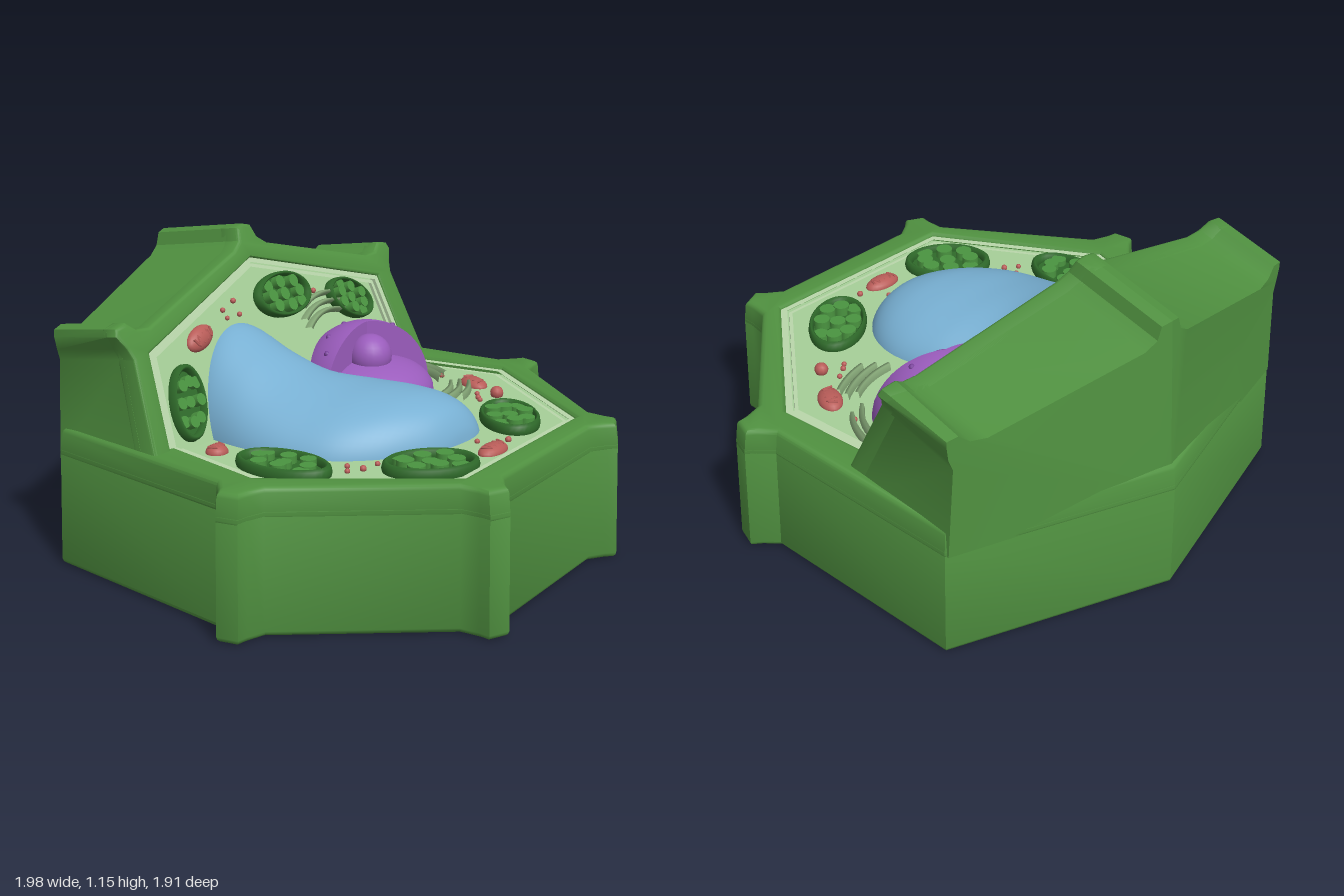
import * as THREE from 'three';
import { toCreasedNormals } from 'three/addons/utils/BufferGeometryUtils.js';

const mat = (name, color, side = THREE.FrontSide) => {
  const m = new THREE.MeshStandardMaterial({ color, side });
  m.name = name;
  return m;
};
const M = {
  wall: mat('wall green', 0x509140),
  cyto: mat('pale green', 0xa6cf98),
  membrane: mat('membrane green', 0xb9d6ab),
  dark: mat('chloroplast dark green', 0x2f6a2a),
  grana: mat('grana green', 0x4a9440),
  blue: mat('vacuole blue', 0x78b0d3),
  purple: mat('nucleus purple', 0x9a5cbc, THREE.DoubleSide),
  plum: mat('plum', 0x7a429c),
  red: mat('organelle red', 0xb85c58),
  reticulum: mat('grey green', 0x86a878),
};

const V = (p) => p.map(([x, y]) => new THREE.Vector2(x, y));
const lerp = THREE.MathUtils.lerp;
const clamp = THREE.MathUtils.clamp;

// Slanted cut plane and the folded back wall
const cutZ = (y) => -0.2 - (y - 0.53) * 0.45;
const backZ = (x, y) => -0.69 - Math.max(0, 1 - Math.abs(x) / 0.8) * (0.27 - 0.065 * y);

// Move every vertex by a rule
function warp(geo, rule) {
  const p = geo.attributes.position;
  for (let i = 0; i < p.count; i++) p.setXYZ(i, ...rule(p.getX(i), p.getY(i), p.getZ(i)));
  geo.computeVertexNormals();
  return geo;
}

export function createModel() {
  const model = new THREE.Group();
  const add = (name, geo, m, parent = model) => {
    const mesh = new THREE.Mesh(geo, m);
    mesh.name = name;
    parent.add(mesh);
    return mesh;
  };

  // Low body: seven-sided outline with a post at each front corner
  const outline = [[0.82, -0.69], [0, -0.965], [-0.82, -0.69]];
  for (const [x, z] of [[-0.985, 0.235], [-0.42, 0.935], [0.465, 0.905], [0.985, 0.235]]) {
    const l = Math.hypot(x, z), nx = x / l, nz = z / l;
    for (const [out, side] of [[-0.1, -0.09], [-0.04, -0.055], [0, -0.04], [0, 0.04], [-0.04, 0.055], [-0.1, 0.09]])
      outline.push([x + nx * out + nz * side, z + nz * out - nx * side]);
  }
  const inner = [[0.71, -0.36], [0.81, 0.2], [0.42, 0.76], [-0.39, 0.78], [-0.81, 0.2], [-0.71, -0.36]];
  const flat = (pts) => V(pts.map(([x, z]) => [x, -z]));
  const slab = (pts, y0, y1, hole, bevel = 0) => {
    const s = new THREE.Shape(flat(pts));
    if (hole) s.holes.push(new THREE.Path(flat(hole)));
    const g = new THREE.ExtrudeGeometry(s, {
      depth: y1 - y0 - 2 * bevel, bevelEnabled: bevel > 0, bevelThickness: bevel,
      bevelSize: bevel, bevelOffset: -bevel, bevelSegments: 3,
    });
    g.rotateX(-Math.PI / 2).translate(0, y0 + bevel, 0);
    warp(g, (x, y, z) => {
      const k = 1.002 - 0.06 * (y / 0.52 - 0.3) ** 2;
      return [x * k, y, z * k];
    });
    return toCreasedNormals(g, 0.7);
  };
  add('lowerWall', slab(outline, 0, 0.46, null, 0.02), M.wall);
  add('lowerRim', slab(outline, 0.41, 0.522, inner, 0.018), M.wall);
  const shrink = (pts, k) => pts.map(([x, z]) => [x * k, (z - 0.15) * k + 0.15]);
  add('cytoplasmFloor', slab(inner, 0.45, 0.488), M.cyto);
  add('floorMembraneOuter', slab(shrink(inner, 1.005), 0.46, 0.508, shrink(inner, 0.965)), M.membrane);
  add('floorMembraneInner', slab(shrink(inner, 0.955), 0.46, 0.5, shrink(inner, 0.935)), M.membrane);

  // Raised back block, an oblique prism between the cut plane and the back wall
  const raise = (g) => toCreasedNormals(warp(g, (x, y, e) => {
    const d = 1 - e, z = lerp(cutZ(y), backZ(x, y), d);
    const drop = 0.17 * (cutZ(y) - z) * clamp((y - 0.45) / 0.4, 0, 1);
    return [x - Math.sign(x) * Math.max(0, Math.abs(x) - 0.8) * d, y - drop, z];
  }), 0.6);
  const rightTop = [[0.825, 0.42], [0.78, 0.84], [0.795, 0.88], [0.825, 0.925], [0.815, 0.95], [0.76, 0.96],
    [0.72, 0.93], [0.66, 0.925], [0.1, 1.07], [0.055, 1.1], [0.04, 1.145], [0, 1.155]];
  const leftTop = rightTop.map(([x, y]) => [-x - (y < 0.5 ? 0.03 : -0.01 * (x > 0.5)), y - (x > 0.5 ? 0.015 : 0)]);
  for (const [name, half] of [['backBlockRight', leftTop], ['backBlockLeft', rightTop]])
    add(name, raise(new THREE.ExtrudeGeometry(new THREE.Shape(V([...half, [0, 0.42]])),
      { depth: 0.85, bevelEnabled: false })), M.wall);
  const arch = [[-0.77, 0.42], [-0.69, 0.83], [-0.02, 1.035], [0.69, 0.84], [0.72, 0.42]];
  const rim = new THREE.Shape(V([...rightTop, ...leftTop.slice(0, -1).reverse(), ...arch]));
  add('raisedRim', raise(new THREE.ExtrudeGeometry(rim, {
    depth: 0.17, bevelThickness: 0.03, bevelSize: 0.012, bevelOffset: -0.012, bevelSegments: 3,
  }).translate(0, 0, 0.8)), M.wall);

  // Cytoplasm and membrane on the cut plane
  const onCut = (shape, depth, off) => warp(
    new THREE.ExtrudeGeometry(shape, { depth, bevelEnabled: false }), (x, y, z) => [x, y, cutZ(y) - off + z]);
  const inset = (k) => arch.map(([x, y]) => [x * k, (y - 0.42) * k + 0.42]);
  add('cytoplasmBack', onCut(new THREE.Shape(V(inset(1.02))), 0.01, 0.045), M.cyto);
  for (const [name, a, b, h] of [['backMembraneOuter', 1.01, 0.97, 0.025], ['backMembraneInner', 0.96, 0.94, 0.016]])
    add(name, toCreasedNormals(onCut(new THREE.Shape(V([...inset(a), ...inset(b).reverse()])), h, 0.037), 0.5), M.membrane);

  // Vacuole: kidney lofted from half-ellipse sections [z, left, right, top]
  const stations = [[0.525, 0.0, 0.06, 0.47], [0.505, -0.12, 0.13, 0.54], [0.46, -0.22, 0.19, 0.6], [0.37, -0.35, 0.25, 0.64],
    [0.25, -0.45, 0.27, 0.658], [0.1, -0.5, 0.23, 0.668], [-0.05, -0.52, 0.13, 0.695],
    [-0.2, -0.51, 0.08, 0.76], [-0.34, -0.48, 0.075, 0.82], [-0.46, -0.4, 0.06, 0.825]];
  const track = (i) => new THREE.CatmullRomCurve3(stations.map((s) => new THREE.Vector3(s[0], s[i], 0)));
  const [left, right, top] = [1, 2, 3].map(track);
  add('vacuole', warp(new THREE.PlaneGeometry(1, 1, 36, 48), (x, y) => {
    const t = clamp(y + 0.5, 0, 1), a = Math.PI * (0.5 - x);
    const l = left.getPoint(t), r = right.getPoint(t).y;
    return [(l.y + r) / 2 + Math.cos(a) * (r - l.y) / 2, 0.45 + (top.getPoint(t).y - 0.45) * Math.sin(a), l.x];
  }), M.blue);

  // Nucleus with a wedge cut away to show the nucleolus
  const nucleus = new THREE.Group();
  nucleus.name = 'nucleus';
  nucleus.position.set(0.34, 0.485, -0.15);
  model.add(nucleus);
  const R = 0.267, gap = 2.6;
  add('nucleusShell', new THREE.SphereGeometry(R, 40, 20, gap, Math.PI * 2 - gap, 0, Math.PI / 2), M.purple, nucleus);
  for (const phi of [0, gap])
    add('nucleusCutFace', new THREE.CircleGeometry(R, 20, 0, Math.PI / 2), M.purple, nucleus).rotation.y = Math.PI + phi;
  add('nucleusInterior', new THREE.SphereGeometry(R * 0.985, 36, 12, 0, Math.PI * 2, 0, Math.PI / 2), M.purple, nucleus).scale.y = 0.5;
  add('nucleolus', new THREE.SphereGeometry(0.085, 24, 16), M.purple, nucleus).position.set(-0.02, 0.14, 0.03);
  for (let i = 0; i < 16; i++) {
    const phi = gap + 0.25 + (i / 16) * 3.4, th = 0.5 + ((i * 5) % 8) * 0.12;
    const pore = add('nuclearPore', new THREE.SphereGeometry(0.012, 8, 6), M.plum, nucleus);
    pore.position.set(-Math.cos(phi) * Math.sin(th), Math.cos(th), Math.sin(phi) * Math.sin(th)).multiplyScalar(R - 0.004);
  }

  // Holder lying on the floor, or on the cut plane with v as height
  const place = (name, x, v, spin, cut) => {
    const holder = new THREE.Group(), g = new THREE.Group();
    holder.name = name;
    holder.position.set(x, cut ? v : 0.488, cut ? cutZ(v) - 0.035 : v);
    if (cut) holder.rotation.x = Math.atan2(1, 0.45);
    g.rotation.y = spin;
    holder.add(g);
    model.add(holder);
    return g;
  };

  // Endoplasmic reticulum: folded sheets around the nucleus
  const ribbon = (parent, r, start, arc) => {
    const g = new THREE.TorusGeometry(r, 0.011, 6, 28, arc).rotateZ(start).rotateX(-Math.PI / 2).scale(1, 3, 1);
    add('reticulumSheet', g, M.reticulum, parent);
  };
  const er = place('reticulum', 0.34, -0.15, 0, false);
  for (const [r, s, a] of [[0.3, -0.75, 0.75], [0.335, -0.6, 0.65], [0.33, -1.6, 0.65], [0.365, -1.5, 0.6], [0.4, -1.4, 0.45]]) ribbon(er, r, s, a);
  const erBack = place('reticulumBack', 0.33, 0.54, 0, true);
  for (const [r, s, a] of [[0.25, 1.2, 1.0], [0.285, 1.3, 0.85], [0.32, 1.45, 0.6]]) ribbon(erBack, r, s, a);

  // Chloroplasts: oval bowl, rim and stacks of grana [x, v, length, width, spin, cut]
  for (const [x, v, a, b, spin, cut] of [
    [-0.6, 0.175, 0.175, 0.1, -1.45, false], [-0.3, 0.575, 0.165, 0.11, -0.7, false], [0.3, 0.525, 0.165, 0.105, 0.75, false],
    [-0.58, 0.63, 0.135, 0.075, 1.25, true], [0.1, 0.87, 0.15, 0.085, -0.05, true], [0.48, 0.785, 0.125, 0.075, -0.5, true]]) {
    const g = place('chloroplast', x, v, spin, cut);
    add('chloroplastBase', new THREE.CylinderGeometry(1, 1, 0.014, 32).scale(a * 0.95, 1, b * 0.95), M.dark, g);
    add('chloroplastRim', new THREE.TorusGeometry(1, 0.1, 8, 36).rotateX(Math.PI / 2).scale(a * 0.95, 0.27, b * 0.95), M.dark, g).position.y = 0.012;
    for (let i = 0; i < 9; i++) {
      const row = (i % 3) - 1, col = Math.floor(i / 3) - 1;
      const h = 0.03 + ((i * 7) % 4) * 0.004;
      add('grana', new THREE.CylinderGeometry(0.29 * b, 0.29 * b, h, 14), M.grana, g)
        .position.set(a * (0.5 * col + 0.08 * row) * (row ? 0.95 : 1.1), h / 2, b * 0.56 * row * (col ? 0.85 : 1));
    }
  }

  // Mitochondria: flattened ovals with a folded inner ridge
  for (const [x, v, a, b, spin, cut] of [[0.61, 0.175, 0.07, 0.045, 1.15, false], [-0.02, 0.65, 0.075, 0.042, 0, false],
    [-0.6, -0.12, 0.042, 0.04, 0, false], [-0.4, 0.815, 0.075, 0.042, 0.3, true]]) {
    const g = place('mitochondrion', x, v, spin, cut);
    add('mitochondrionBody', new THREE.SphereGeometry(1, 24, 12).scale(a, 0.03, b), M.red, g);
    const fold = Array.from({ length: 9 }, (_, i) => new THREE.Vector3(a * (i / 5 - 0.8) * 0.85, 0.024, b * 0.4 * (i % 2 ? 1 : -1)));
    add('cristae', new THREE.TubeGeometry(new THREE.CatmullRomCurve3(fold), 40, 0.005, 5), M.red, g);
  }

  // Vesicles and ribosomes [x, v, radius, cut]
  for (const [x, v, r, cut] of [[0.53, 0.33, 0.026, false], [0.46, 0.29, 0.011, false], [0.5, 0.26, 0.01, false], [0.44, 0.31, 0.01, false],
    [-0.45, 0.4, 0.012, false], [-0.5, 0.37, 0.01, false], [-0.38, 0.41, 0.01, false], [-0.46, 0.34, 0.01, false],
    [0.02, 0.56, 0.01, false], [0.1, 0.64, 0.012, false], [0.47, -0.0, 0.01, false], [0.62, 0.02, 0.01, false],
    [-0.24, 0.88, 0.01, true], [-0.17, 0.9, 0.011, true], [-0.16, 0.85, 0.01, true], [-0.23, 0.85, 0.009, true], [0.29, 0.85, 0.011, true]])
    add('vesicle', new THREE.SphereGeometry(r, 10, 8), M.red, place('vesicleHolder', x, v, 0, cut)).position.y = r * 0.6;

  return model;
}
